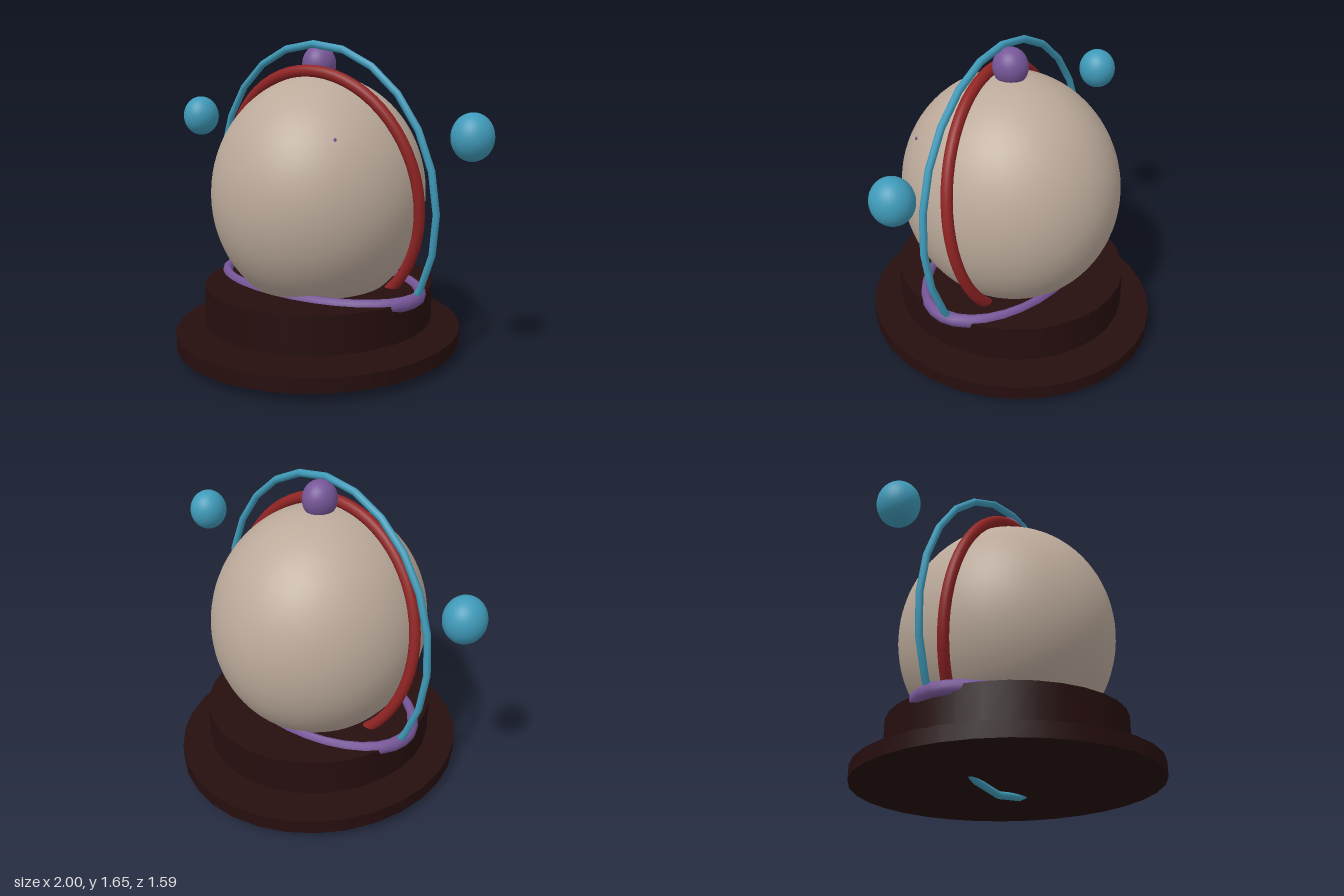
import * as THREE from 'three';

const material = (name, color) => {
  const m = new THREE.MeshStandardMaterial({ color });
  m.name = name;
  return m;
};

export function createModel() {
  const model = new THREE.Group();
  model.name = 'ringedGlobe';

  const shell = material('warm beige', 0xbcaa9b);
  const red = material('deep red', 0x902323);
  const blue = material('teal blue', 0x3f9ab9);
  const purple = material('violet', 0x765698);
  const dark = material('dark brown', 0x260e0e);

  const add = (name, geometry, mat, x, y, z) => {
    const mesh = new THREE.Mesh(geometry, mat);
    mesh.name = name;
    mesh.position.set(x, y, z);
    model.add(mesh);
    return mesh;
  };

  // Ellipsoid with separate radii on each axis
  const ball = (rx, ry, rz, w = 32, h = 24) =>
    new THREE.SphereGeometry(1, w, h).scale(rx, ry, rz);

  // Elliptical disc between two heights
  const disc = (name, rx, rz, y0, y1) =>
    add(name, new THREE.CylinderGeometry(1, 1, y1 - y0, 32).scale(rx, 1, rz),
      dark, 0, (y0 + y1) / 2, 0);

  // Stand: wide foot plate and the drum above it
  disc('footPlate', 0.748, 0.796, 0.058, 0.134);
  disc('drum', 0.597, 0.632, 0.178, 0.376);

  // Main globe, top knob and small stud on its surface
  add('globe', ball(0.553, 0.625, 0.588, 64, 48), shell, 0, 0.853, 0);
  add('topKnob', ball(0.086, 0.098, 0.092), purple, 0, 1.528, 0);
  add('stud', ball(0.007, 0.009, 0.007, 10, 8), purple, 0.358, 1.19, 0.325);

  // Flattened collar ring resting on the drum
  const collar = new THREE.TorusGeometry(0.601, 0.034, 10, 32)
    .rotateX(Math.PI / 2).scale(1, 1.1, 0.6);
  add('collarRing', collar, purple, 0, 0.37, 0);

  // Thick band hugging the globe, leaning forward and slightly turned
  const band = new THREE.TorusGeometry(0.657, 0.031, 14, 64)
    .rotateY(0.09).rotateX(0.165).scale(0.9, 1, 0.95);
  add('globeBand', band, red, 0, 0.848, 0);

  // Thin faceted outer hoop, leaning forward a little
  const hoop = new THREE.TorusGeometry(0.805, 0.02, 8, 24)
    .rotateX(0.062).scale(0.895, 1, 0.95);
  add('outerHoop', hoop, blue, 0, 0.826, 0);

  // Floating orbs on both sides
  for (const [name, side] of [['leftOrb', 1], ['rightOrb', -1]]) {
    add(name, ball(0.1, 0.113, 0.105), blue, side * 0.9, 1.212, 0);
  }

  return model;
}
